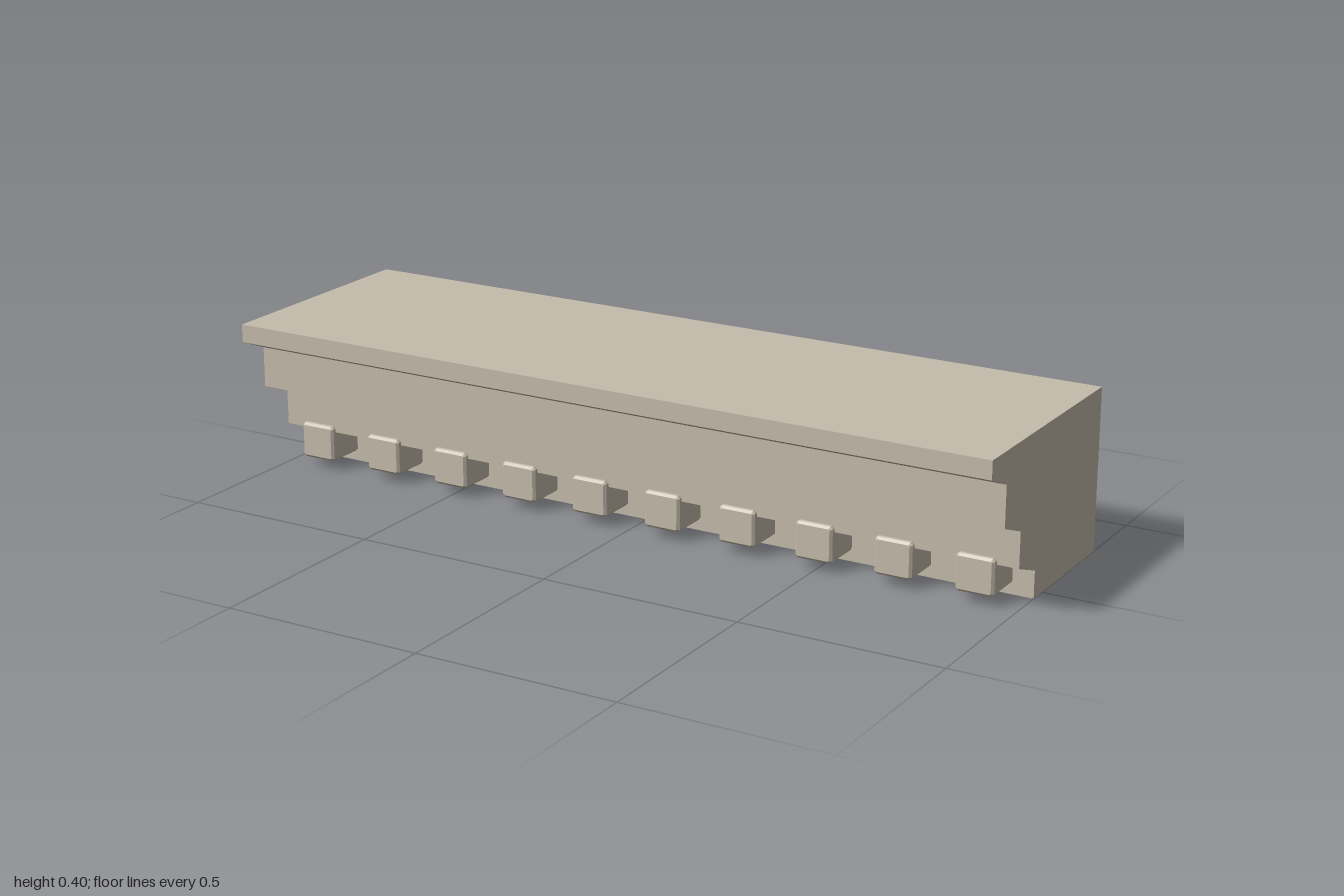
import * as THREE from 'three';

const stone = new THREE.MeshStandardMaterial({ color: 0xc4bbaa });
stone.name = 'warm stone';

// Stepped cornice section, as [z, y], swept along x
function corniceGeometry(length) {
  const profile = [
    [-0.3, 0], [0.045, 0], [0.045, 0.067], [0.134, 0.1], [0.134, 0.188],
    [0.221, 0.221], [0.221, 0.322], [0.3, 0.355], [0.3, 0.4], [-0.3, 0.4],
  ];
  const shape = new THREE.Shape(profile.map(([z, y]) => new THREE.Vector2(z, y)));
  const geometry = new THREE.ExtrudeGeometry(shape, { depth: length, bevelEnabled: false });
  geometry.translate(0, 0, -length / 2);
  geometry.rotateY(-Math.PI / 2);
  return geometry;
}

// Block with chamfered edges, centred on the origin
function chamferedBlock(w, h, d, c) {
  const x = w / 2, y = h / 2;
  const shape = new THREE.Shape([
    [-x + c, -y], [x - c, -y], [x, -y + c], [x, y - c],
    [x - c, y], [-x + c, y], [-x, y - c], [-x, -y + c],
  ].map(([px, py]) => new THREE.Vector2(px, py)));
  const geometry = new THREE.ExtrudeGeometry(shape, {
    depth: d - 2 * c, bevelThickness: c, bevelSize: c, bevelOffset: -c, bevelSegments: 1,
  });
  geometry.translate(0, 0, -d / 2 + c);
  return geometry;
}

export function createModel() {
  const model = new THREE.Group();
  model.name = 'dentilCornice';

  const body = new THREE.Mesh(corniceGeometry(2), stone);
  body.name = 'corniceBody';
  model.add(body);

  // Row of dentils under the lowest step, sunk into the body behind
  const dentils = new THREE.Group();
  dentils.name = 'dentils';
  const block = chamferedBlock(0.094, 0.09, 0.118, 0.006);
  for (let i = 0; i < 10; i++) {
    const dentil = new THREE.Mesh(block, stone);
    dentil.name = 'dentil';
    dentil.position.set(-0.9 + i * 0.2, 0.07, 0.089);
    dentils.add(dentil);
  }
  model.add(dentils);

  return model;
}
